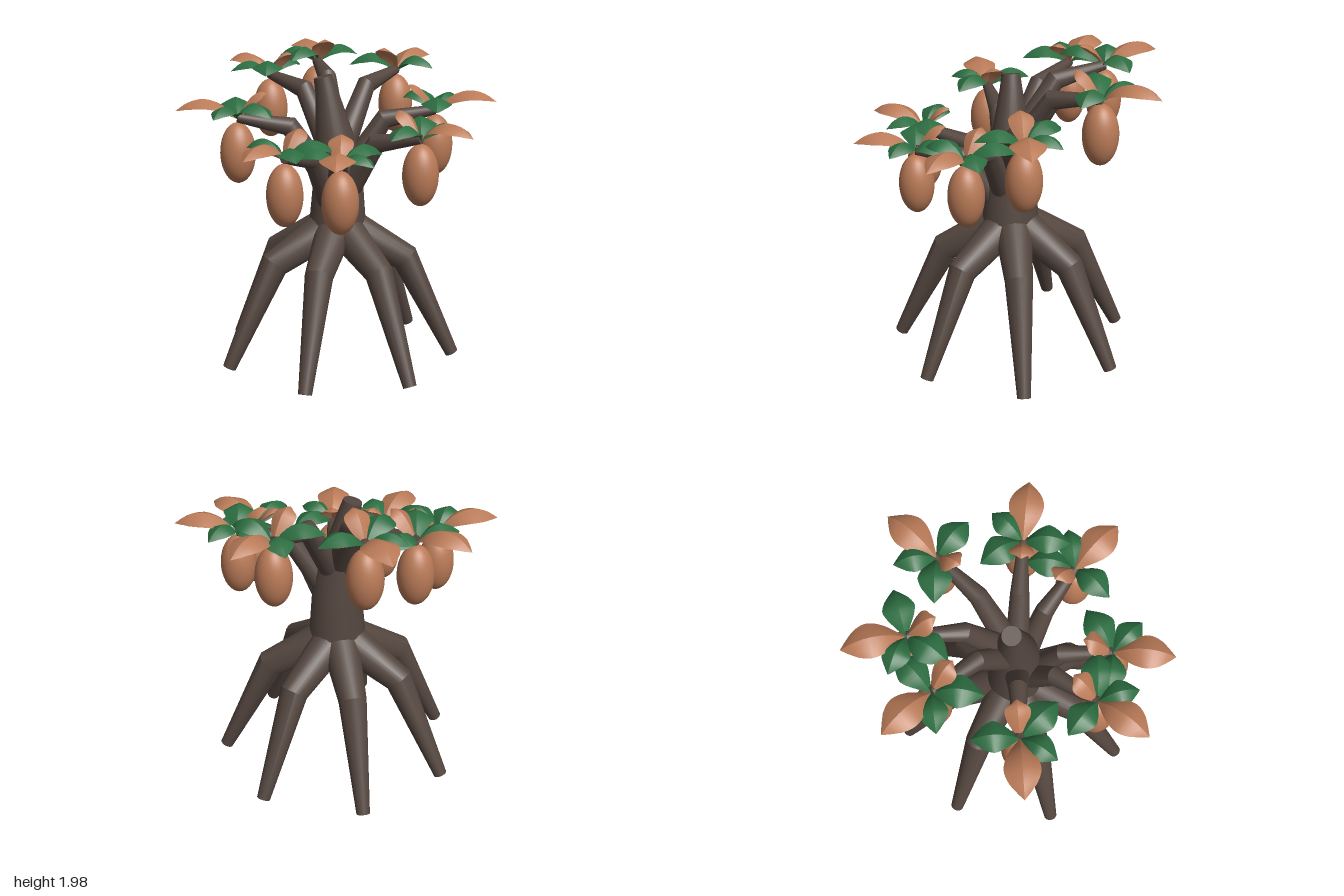
import * as THREE from 'three';
import { toCreasedNormals } from 'three/addons/utils/BufferGeometryUtils.js';

const V = (x, y, z) => new THREE.Vector3(x, y, z);

function makeGeometry(positions, index) {
  const g = new THREE.BufferGeometry();
  g.setAttribute('position', new THREE.Float32BufferAttribute(positions, 3));
  g.setIndex(index);
  return toCreasedNormals(g, 0.5);
}

// Tapered, capped limb along a bent line, with mitred joints
function limbGeometry(points, radii, sides = 18) {
  const n = points.length;
  const dirs = points.slice(1).map((p, i) => p.clone().sub(points[i]).normalize());
  const side = dirs[0].clone().cross(dirs[n - 2]).normalize();
  const pos = [], index = [];
  points.forEach((p, i) => {
    const a = dirs[Math.max(i - 1, 0)], b = dirs[Math.min(i, n - 2)];
    const t = a.clone().add(b).normalize();
    const u = side.clone().cross(t).normalize();
    const stretch = 1 / t.dot(b);
    for (let j = 0; j < sides; j++) {
      const k = (j / sides) * Math.PI * 2;
      const q = p.clone()
        .addScaledVector(u, Math.cos(k) * radii[i] * stretch)
        .addScaledVector(side, Math.sin(k) * radii[i]);
      pos.push(q.x, q.y, q.z);
    }
  });
  const first = n * sides, last = first + 1;
  pos.push(...points[0].toArray(), ...points[n - 1].toArray());
  for (let j = 0; j < sides; j++) {
    const k = (j + 1) % sides, top = (n - 1) * sides;
    for (let i = 0; i < n - 1; i++) {
      const a = i * sides + j, b = i * sides + k;
      index.push(a, b, b + sides, a, b + sides, a + sides);
    }
    index.push(first, k, j, last, top + j, top + k);
  }
  return makeGeometry(pos, index);
}

// Arched leaf along +x, folded down on both sides of its midrib
function leafGeometry(profile, halfWidth, droop) {
  const curve = new THREE.CatmullRomCurve3(profile.map(([r, y]) => V(r, y, 0)));
  const rows = 12, cols = 6, pos = [], index = [];
  for (let i = 0; i <= rows; i++) {
    const t = i / rows, p = curve.getPoint(t), d = curve.getTangent(t);
    const w = Math.pow(Math.max(Math.sin(Math.PI * t), 0), 0.9) + 0.01;
    for (let j = 0; j <= cols; j++) {
      const s = (j / cols) * 2 - 1;
      const drop = droop * w * Math.pow(Math.abs(s), 1.2);
      pos.push(p.x + d.y * drop, p.y - d.x * drop, s * halfWidth * w);
    }
  }
  for (let i = 0; i < rows; i++) for (let j = 0; j < cols; j++) {
    const a = i * (cols + 1) + j, b = a + cols + 1;
    index.push(a, a + 1, b + 1, a, b + 1, b);
  }
  return makeGeometry(pos, index);
}

export function createModel() {
  const bark = new THREE.MeshStandardMaterial({ color: 0x54463f });
  bark.name = 'bark';
  const green = new THREE.MeshStandardMaterial({ color: 0x2d6e42, side: THREE.DoubleSide });
  green.name = 'leaf green';
  const clay = new THREE.MeshStandardMaterial({ color: 0xb97a57, side: THREE.DoubleSide });
  clay.name = 'clay brown';

  const model = new THREE.Group();
  model.name = 'stiltRootFruitTree';
  const add = (parent, name, geometry, material) => {
    const mesh = new THREE.Mesh(geometry, material);
    mesh.name = name;
    parent.add(mesh);
    return mesh;
  };

  // Trunk, leaning slightly at the top
  add(model, 'trunk', limbGeometry(
    [V(0, 0.76, -0.01), V(0.005, 1.32, -0.01), V(-0.07, 1.74, -0.02), V(-0.09, 1.82, -0.02)],
    [0.19, 0.143, 0.068, 0.058], 24), bark);

  // Seven stilt roots around the trunk
  const rootGeometry = limbGeometry(
    [V(0.06, 0.87, 0), V(0.43, 0.665, 0), V(0.74, 0.025, 0)], [0.12, 0.087, 0.042]);
  for (let i = 0; i < 7; i++) {
    const root = add(model, 'root', rootGeometry, bark);
    root.position.z = -0.018;
    root.rotation.y = (i / 7) * Math.PI * 2;
  }

  // Shared leaf and fruit shapes
  const longLeaf = leafGeometry([[0, 0], [0.09, 0.09], [0.2, 0.13], [0.3, 0.11], [0.375, 0.06]], 0.105, 0.045);
  const sideLeaf = leafGeometry([[0, 0], [0.07, 0.08], [0.15, 0.115], [0.23, 0.09], [0.29, 0.04]], 0.095, 0.045);
  const shortLeaf = leafGeometry([[0, 0], [0.045, 0.08], [0.1, 0.145], [0.15, 0.165], [0.185, 0.155]], 0.075, 0.035);
  const fruitGeometry = new THREE.SphereGeometry(1, 32, 20).scale(0.11, 0.19, 0.11);

  // Leaf angle from the long leaf (degrees), shape, material, scale
  const leaves = [
    ['longLeaf', 0, longLeaf, clay, 1],
    ['shortLeaf', 178, shortLeaf, clay, 1],
    ['sideLeaf', 90, sideLeaf, green, 0.98],
    ['sideLeaf', -53, sideLeaf, green, 0.88],
    ['sideLeaf', -129, sideLeaf, green, 1.04],
  ];

  // Branch ends: x, z, fruit centre height, direction of the long leaf
  const ends = [
    [-0.16, -0.61, 1.615, -112], [0.36, -0.505, 1.575, -56],
    [0.604, -0.026, 1.4, 0], [0.51, 0.3, 1.28, 39],
    [0.04, 0.575, 1.175, 92], [-0.288, 0.51, 1.2, 123],
    [-0.61, 0.083, 1.36, 170], [-0.453, -0.433, 1.55, -141],
  ];
  for (const [x, z, y, heading] of ends) {
    const top = y + 0.21;
    add(model, 'branch', limbGeometry(
      [V(x * 0.08, top - 0.42, z * 0.08), V(x * 0.48, top - 0.05, z * 0.48), V(x, top + 0.01, z)],
      [0.08, 0.058, 0.03]), bark);

    add(model, 'fruit', fruitGeometry, clay).position.set(x, y, z);

    const crown = new THREE.Group();
    crown.name = 'leafCluster';
    crown.position.set(x, top, z);
    for (const [name, angle, geometry, material, scale] of leaves) {
      const leaf = add(crown, name, geometry, material);
      leaf.rotation.y = -THREE.MathUtils.degToRad(heading + angle);
      leaf.scale.setScalar(scale);
    }
    model.add(crown);
  }
  return model;
}
